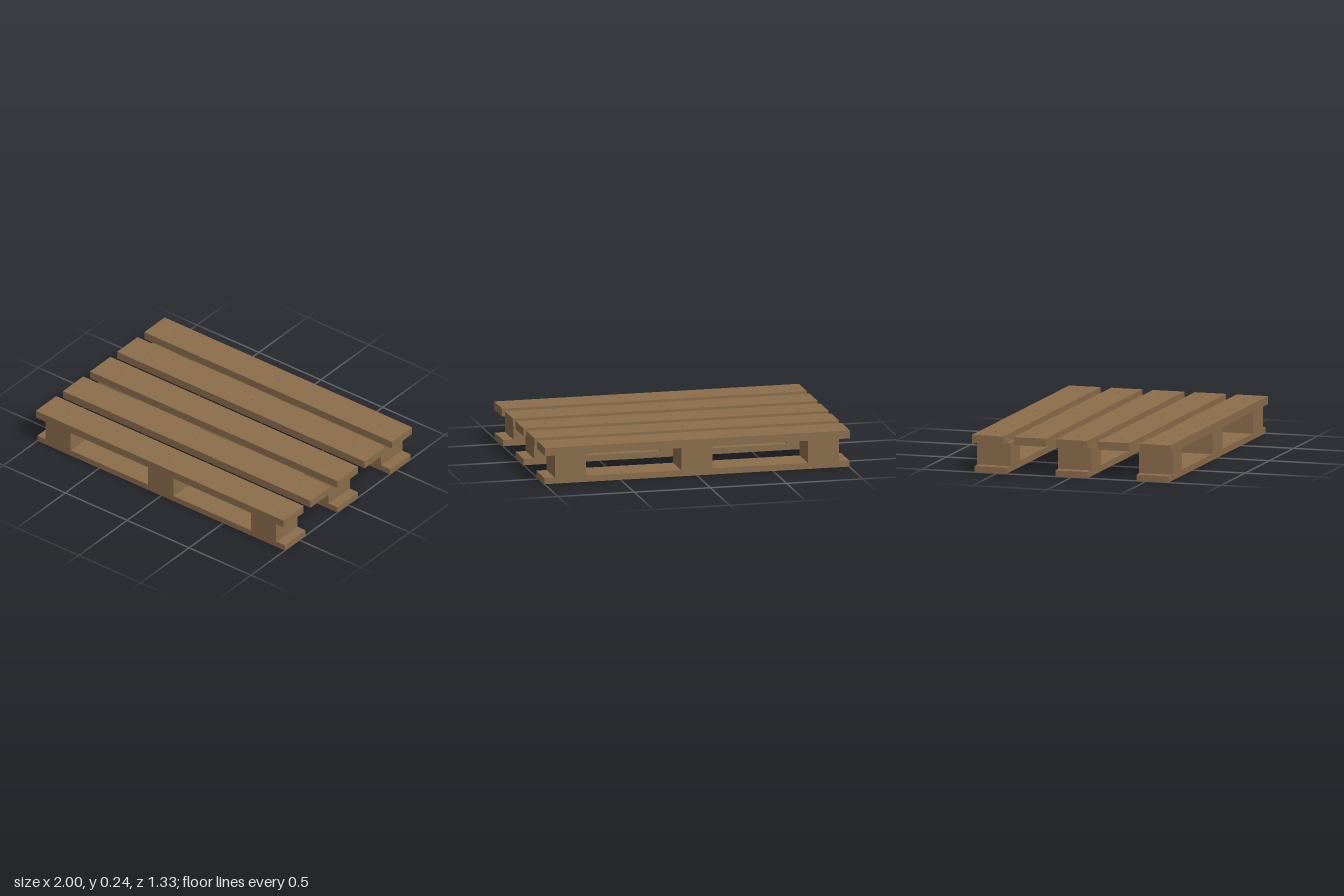
import * as THREE from 'three';

export function createModel() {
  const pallet = new THREE.Group();
  pallet.name = 'pallet';

  const wood = new THREE.MeshStandardMaterial({ color: 0x8b6d4b });
  wood.name = 'wood';

  const add = (name, geometry, x, y, z) => {
    const mesh = new THREE.Mesh(geometry, wood);
    mesh.name = name;
    mesh.position.set(x, y, z);
    pallet.add(mesh);
  };

  const columns = [-0.83, 0, 0.83];
  const plank = new THREE.BoxGeometry(2, 0.052, 0.21);
  const runner = new THREE.BoxGeometry(2, 0.04, 0.215);
  const block = new THREE.BoxGeometry(0.205, 0.148, 0.222);
  const nail = new THREE.CylinderGeometry(0.008, 0.008, 0.003, 12);

  // Deck: five planks, each fixed with three nail heads
  for (const z of [-0.56, -0.28, 0, 0.28, 0.56]) {
    add('deckPlank', plank, 0, 0.214, z);
    for (const x of columns) add('nailHead', nail, x, 0.2415, z);
  }

  // Base: three runners, each carrying three spacer blocks
  for (const z of [-0.542, 0, 0.542]) {
    add('baseRunner', runner, 0, 0.02, z);
    for (const x of columns) add('spacerBlock', block, x, 0.114, z);
  }

  return pallet;
}
